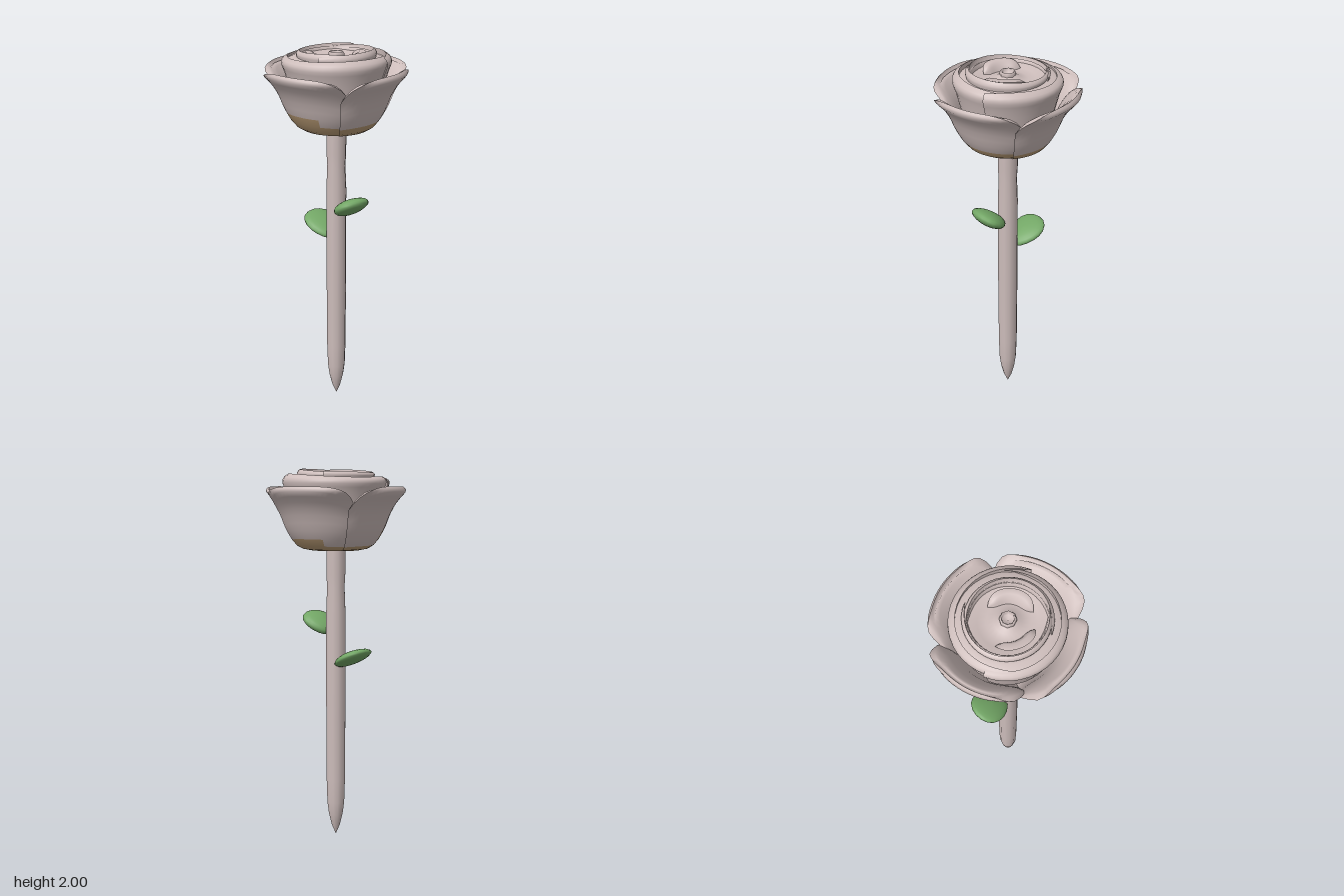
import * as THREE from 'three';

const mat = (name, color) => {
  const m = new THREE.MeshStandardMaterial({ color });
  m.name = name;
  return m;
};

// Curved, closed petal shell: a [radius, height] profile swept around the y axis.
// The top corners are rounded off by `drop`; `skew` tucks one edge under its neighbour.
function petalGeometry({ profile, centre, half, drop, thick, round = 5, skew = 0.03, wave = 0 }, isBase) {
  const curve = new THREE.SplineCurve(profile.map(p => new THREE.Vector2(...p)));
  const cols = 24, rows = (profile.length - 1) * 2, ring = 2 * (rows + 1);
  const pos = [], main = [], base = [];
  for (let i = 0; i <= cols; i++) {
    const u = (i / cols) * 2 - 1, a = centre + u * half;
    const outer = [], inner = [];
    for (let j = 0; j <= rows; j++) {
      const s = j / rows;
      const t = s - drop * Math.abs(u) ** round * s ** 3;
      const p = curve.getPoint(t), d = curve.getTangent(t);
      const th = thick * Math.sqrt(Math.max(0, 1 - s ** 6)) * (1 - u ** 6);
      const k = 1 - skew * u;
      const lift = wave * Math.sin(2.5 * u + centre) * s ** 3;
      const put = (r, y) => [r * k * Math.sin(a), y + lift, r * k * Math.cos(a)];
      outer.push(put(p.x, p.y));
      inner.unshift(put(Math.max(0.01, p.x - d.y * th), p.y + d.x * th));
    }
    [...outer, ...inner].forEach(v => pos.push(...v));
  }
  for (let i = 0; i < cols; i++) {
    for (let j = 0; j < ring; j++) {
      const n = (j + 1) % ring;
      const a = i * ring + j, b = a + ring, c = (i + 1) * ring + n, d = i * ring + n;
      const low = isBase && j < rows && isBase(j, pos[a * 3], pos[a * 3 + 2]);
      (low ? base : main).push(a, b, c, a, c, d);
    }
  }
  const g = new THREE.BufferGeometry();
  g.setAttribute('position', new THREE.Float32BufferAttribute(pos, 3));
  g.setIndex([...main, ...base]);
  g.addGroup(0, main.length, 0);
  g.addGroup(main.length, base.length, 1);
  g.computeVertexNormals();
  return g;
}

// Plump oval leaf, narrower towards the stem (local -x end)
function leafGeometry(length, width, thick) {
  const g = new THREE.SphereGeometry(1, 18, 12);
  const p = g.attributes.position;
  for (let i = 0; i < p.count; i++) {
    const x = p.getX(i);
    p.setXYZ(i, x * length, p.getY(i) * thick, p.getZ(i) * width * (1 + 0.2 * x));
  }
  g.computeVertexNormals();
  return g;
}

export function createModel() {
  const pink = mat('duskyPink', 0xcdbdbb);
  const brown = mat('baseBrown', 0xb89a74);
  const green = mat('leafGreen', 0x73a766);
  const root = new THREE.Group();
  root.name = 'rose';
  const add = (name, geometry, material, parent = root) => {
    const m = new THREE.Mesh(geometry, material);
    m.name = name;
    parent.add(m);
    return m;
  };
  const lathe = (pts, seg) => new THREE.LatheGeometry(pts.map(p => new THREE.Vector2(...p)), seg);

  // Stem with a pointed foot
  add('stem', lathe([[0, 0], [0.023, 0.055], [0.039, 0.12], [0.048, 0.19], [0.052, 0.32],
    [0.054, 0.8], [0.053, 1.25], [0.048, 1.38], [0.052, 1.45], [0.052, 1.6]], 12), pink);

  // Leaves, each on a short stub
  for (const [name, side, y, length, thick, tilt] of [
    ['leftLeaf', 1, 1.178, 0.096, 0.039, 0.57], ['rightLeaf', -1, 1.01, 0.112, 0.032, 0.46]]) {
    const leaf = new THREE.Group();
    leaf.name = name;
    leaf.position.set(side * 0.122, y, 0);
    leaf.rotation.set(0, side > 0 ? 0 : Math.PI, tilt);
    root.add(leaf);
    add('leafBlade', leafGeometry(length, 0.095, thick), green, leaf);
    const stub = add('leafStub', new THREE.ConeGeometry(0.028, 0.08, 8), pink, leaf);
    stub.rotation.z = -Math.PI / 2;
    stub.position.set(-0.07, 0.02, 0);
  }

  const bloom = new THREE.Group();
  bloom.name = 'bloom';
  root.add(bloom);

  // Four outer petals in a pinwheel, with the brown base reaching higher at the front
  const isBase = (row, x, z) => row < (z > 0.1 && x < 0.12 ? 6 : x > -0.1 ? 5 : 4);
  for (let i = 0; i < 4; i++) {
    add('outerPetal', petalGeometry({
      profile: [[0.03, 1.59], [0.135, 1.578], [0.205, 1.605], [0.257, 1.685],
        [0.289, 1.765], [0.328, 1.83], [0.372, 1.882], [0.358, 1.908]],
      centre: 0.3 + i * Math.PI / 2, half: 0.86, drop: 0.38, thick: 0.042, round: 3,
    }, isBase), [pink, brown], bloom);
  }

  // Middle ring of thick petals curling inward at the rim
  for (let i = 0; i < 2; i++) {
    add('middlePetal', petalGeometry({
      profile: [[0.1, 1.62], [0.2, 1.68], [0.238, 1.8], [0.258, 1.88], [0.274, 1.925], [0.266, 1.95], [0.24, 1.965]],
      centre: 0.7 + i * Math.PI, half: 1.8, drop: 0.1, thick: 0.04, wave: 0.01,
    }), pink, bloom);
  }

  // Inner ring
  for (let i = 0; i < 2; i++) {
    add('innerPetal', petalGeometry({
      profile: [[0.12, 1.7], [0.165, 1.8], [0.185, 1.89], [0.2, 1.95], [0.204, 1.975], [0.188, 1.99]],
      centre: 2.4 + i * Math.PI, half: 1.9, drop: 0.12, thick: 0.03, wave: 0.01,
    }), pink, bloom);
  }

  // Folded petals around the heart
  for (const [centre, half, r] of [[-0.3, 0.85, 0.145], [2.3, 1.05, 0.135]]) {
    add('heartPetal', petalGeometry({
      profile: [[r - 0.05, 1.86], [r - 0.025, 1.91], [r - 0.01, 1.95], [r + 0.012, 1.98]],
      centre, half, drop: 0.4, thick: 0.03, round: 3,
    }), pink, bloom);
  }

  // Bowl closing the bloom, and the hollow bud in its centre
  add('heartBowl', lathe([[0.25, 1.94], [0.215, 1.955], [0.18, 1.955], [0.14, 1.94], [0.1, 1.935],
    [0.065, 1.942], [0.035, 1.96]], 24), pink, bloom);
  add('bud', lathe([[0.036, 1.92], [0.04, 1.95], [0.041, 1.968], [0.036, 1.978], [0.029, 1.974],
    [0.027, 1.955], [0, 1.95]], 8), pink, bloom);

  return root;
}
